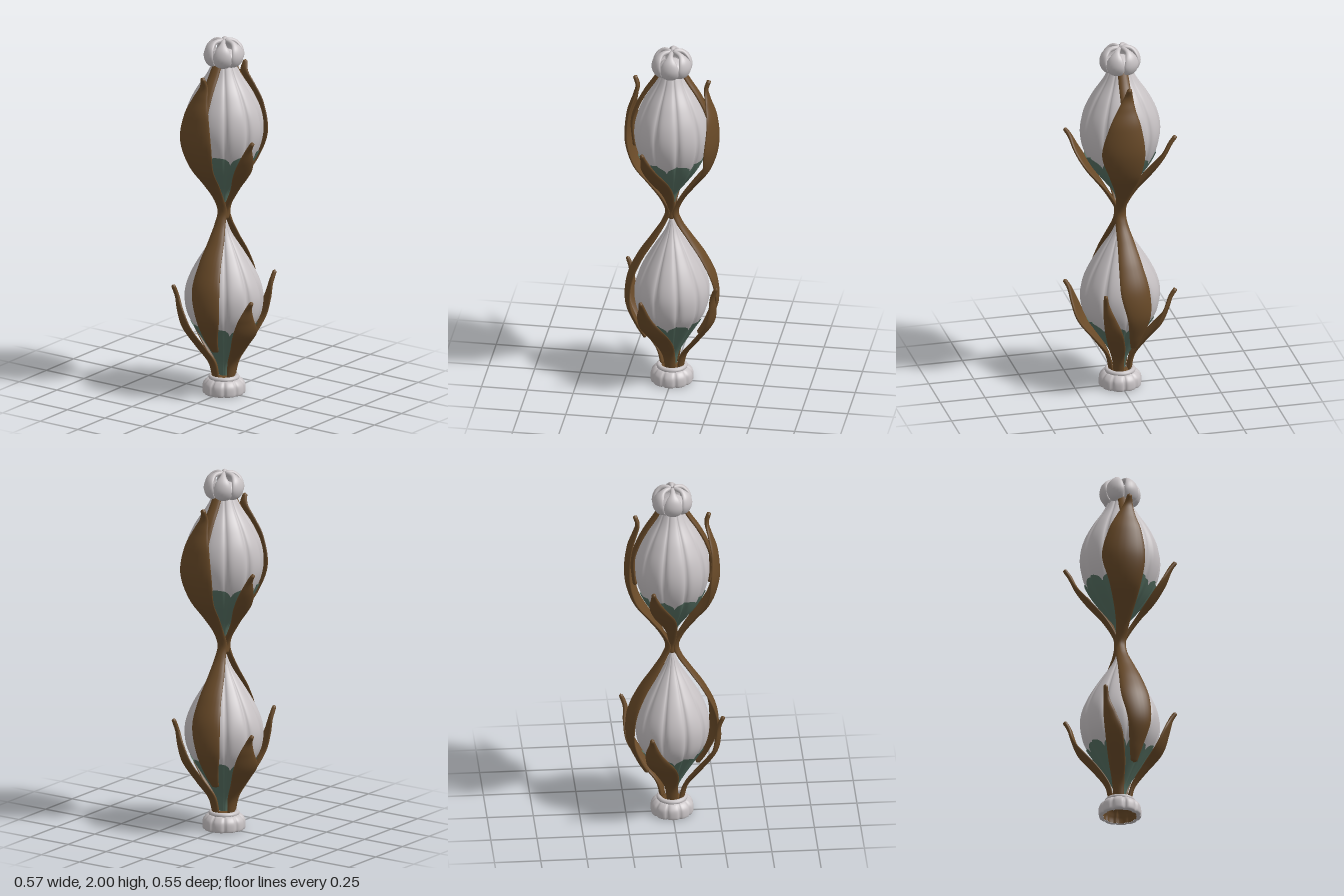
import * as THREE from 'three';

const white = new THREE.MeshStandardMaterial({ name: 'paleShell', color: 0xc8c3c5 });
const brown = new THREE.MeshStandardMaterial({ name: 'brownLeaf', color: 0x694a28, side: THREE.DoubleSide });
const green = new THREE.MeshStandardMaterial({ name: 'greenCalyx', color: 0x567062, side: THREE.DoubleSide });

// Smooth surface closed around u (0..1) and open along v (0..1)
function surface(point, nu, nv) {
  const pos = [], index = [];
  for (let j = 0; j <= nv; j++) {
    for (let i = 0; i < nu; i++) pos.push(...point(i / nu, j / nv, j).toArray());
  }
  for (let j = 0; j < nv; j++) {
    for (let i = 0; i < nu; i++) {
      const a = j * nu + i, b = j * nu + (i + 1) % nu;
      index.push(a, b, b + nu, a, b + nu, a + nu);
    }
  }
  const g = new THREE.BufferGeometry();
  g.setAttribute('position', new THREE.Float32BufferAttribute(pos, 3));
  g.setIndex(index);
  g.computeVertexNormals();
  return g;
}

// Tapered blade through rows of [x, y, z, halfWidth], curved around the y axis
function blade(rows, thick = 0.012, nv = 48) {
  const path = new THREE.CatmullRomCurve3(rows.map(r => new THREE.Vector3(r[0], r[1], r[2])), false, 'catmullrom');
  const size = new THREE.CatmullRomCurve3(rows.map(r => new THREE.Vector3(r[3], 0, 0)), false, 'catmullrom');
  const up = new THREE.Vector3(0, 1, 0);
  return surface((u, v, j) => {
    const p = path.getPoint(v), tan = path.getTangent(v);
    const end = j === 0 || j === nv ? 0 : 1;
    const w = Math.max(size.getPoint(v).x, 0.003) * end;
    const a = Math.atan2(p.x, p.z), r = Math.hypot(p.x, p.z);
    const side = new THREE.Vector3(Math.cos(a), 0, -Math.sin(a));
    const out = side.cross(tan).normalize();
    const t = u * Math.PI * 2;
    p.addScaledVector(out, Math.cos(t) * Math.min(thick, w));
    return p.applyAxisAngle(up, Math.sin(t) * w / Math.max(r, 0.01));
  }, 20, nv);
}

// Profile lookup: radius at a height, from a spline through [radius, y]
function profileOf(points) {
  const pts = new THREE.SplineCurve(points.map(p => new THREE.Vector2(...p))).getPoints(100);
  return y => {
    const k = pts.findIndex(p => p.y >= y);
    if (k <= 0) return k === 0 ? pts[0].x : pts[100].x;
    const a = pts[k - 1], b = pts[k];
    return THREE.MathUtils.lerp(a.x, b.x, (y - a.y) / (b.y - a.y));
  };
}

const groove = (a, n, depth) => 1 - depth * Math.pow(1 - Math.abs(Math.sin(a * n / 2)), 3);
const around = (a, r, y, flat = 1) => new THREE.Vector3(Math.sin(a) * r, y, Math.cos(a) * r * flat);

// Lobed body of revolution along [radius, y] points
function lobed(points, n, depth) {
  const curve = new THREE.SplineCurve(points.map(p => new THREE.Vector2(...p)));
  return surface((u, v) => {
    const p = curve.getPoint(v), a = u * Math.PI * 2;
    return around(a, p.x * groove(a, n, depth), p.y);
  }, 96, 28);
}

export function createModel() {
  const model = new THREE.Group();
  model.name = 'budFinial';
  const add = (name, geometry, material, turn = 0) => {
    const m = new THREE.Mesh(geometry, material);
    m.name = name;
    m.rotation.y = turn;
    model.add(m);
  };

  // Pleated buds, each sitting in a green calyx with a scalloped rim
  const buds = [
    { name: 'lower', rim: 0.36, points: [[0.02, 0.1], [0.035, 0.17], [0.08, 0.25], [0.145, 0.35], [0.2, 0.44],
      [0.218, 0.53], [0.208, 0.61], [0.17, 0.7], [0.11, 0.8], [0.045, 0.9], [0.012, 0.98]] },
    { name: 'upper', rim: 1.335, points: [[0.012, 1.08], [0.03, 1.14], [0.075, 1.2], [0.15, 1.3], [0.2, 1.4],
      [0.219, 1.5], [0.205, 1.6], [0.16, 1.7], [0.095, 1.8], [0.06, 1.87]] },
  ];
  for (const { name, rim, points } of buds) {
    const radius = profileOf(points);
    const y0 = points[0][1], y1 = points[points.length - 1][1];
    const skin = (a, y, lift) => around(a, radius(y) * groove(a, 10, 0.07) + lift, y, 0.93);
    add(name + 'Bud', surface((u, v) => skin(u * Math.PI * 2, y0 + (y1 - y0) * v, 0), 120, 48), white);
    add(name + 'Calyx', surface((u, v) => {
      const a = u * Math.PI * 2;
      const top = rim + 0.045 * Math.sqrt(Math.abs(Math.sin(a * 4)));
      return skin(a, y0 + (top - y0) * v, 0.007);
    }, 120, 20), green);
  }

  // Leaves, repeated on the opposite side by a half turn
  const leaves = {
    longLeaf: [[0.042, 0.265, 0.135, 0.018], [0.045, 0.35, 0.185, 0.04], [0.053, 0.48, 0.235, 0.07],
      [0.035, 0.62, 0.23, 0.085], [0.022, 0.75, 0.175, 0.07], [0.012, 0.87, 0.098, 0.05],
      [0, 0.96, 0.044, 0.036], [0, 1.03, 0.026, 0.034], [0, 1.11, 0.06, 0.036], [-0.005, 1.2, 0.125, 0.058],
      [-0.02, 1.31, 0.205, 0.09], [-0.038, 1.45, 0.243, 0.122], [-0.028, 1.6, 0.235, 0.092],
      [-0.015, 1.7, 0.205, 0.052], [0, 1.77, 0.187, 0.026], [0.003, 1.83, 0.203, 0.011]],
    capStrap: [[0, 1.4, 0.2, 0.03], [0, 1.55, 0.213, 0.034], [0, 1.65, 0.187, 0.034], [0, 1.74, 0.143, 0.033],
      [0, 1.81, 0.098, 0.031], [0, 1.87, 0.062, 0.028]],
    smallLeaf: [[-0.02, 0.08, 0.05, 0.028], [-0.03, 0.18, 0.075, 0.035], [-0.055, 0.28, 0.145, 0.047],
      [-0.09, 0.4, 0.222, 0.048], [-0.118, 0.5, 0.24, 0.034], [-0.136, 0.58, 0.243, 0.017],
      [-0.147, 0.65, 0.268, 0.01]],
    lowerSideLeaf: [[0.05, 0.08, 0, 0.03], [0.07, 0.18, 0.01, 0.038], [0.135, 0.28, 0.035, 0.062],
      [0.205, 0.38, 0.08, 0.08], [0.23, 0.47, 0.115, 0.05], [0.25, 0.54, 0.123, 0.022], [0.278, 0.59, 0.13, 0.01]],
    upperSideLeaf: [[0.018, 0.98, 0, 0.02], [0.022, 1.05, 0, 0.02], [0.085, 1.16, 0.012, 0.035],
      [0.165, 1.27, 0.055, 0.06], [0.215, 1.36, 0.095, 0.048], [0.248, 1.44, 0.115, 0.02], [0.28, 1.49, 0.122, 0.01]],
  };
  for (const [name, rows] of Object.entries(leaves)) {
    const g = blade(rows, 0.012, rows.length * 8);
    add(name, g, brown);
    add(name + 'Opposite', g, brown, Math.PI);
  }

  // Crown of six curled petals over a small dome
  const petal = blade([[0, 1.86, 0.065, 0.03], [0, 1.875, 0.088, 0.044], [0, 1.91, 0.1, 0.052], [0, 1.95, 0.09, 0.04],
    [0, 1.978, 0.062, 0.018], [0, 1.988, 0.03, 0.012], [0, 1.988, 0.008, 0.008]], 0.013, 32);
  for (let i = 0; i < 6; i++) add('crownPetal', petal, white, Math.PI / 6 + i * Math.PI / 3);
  add('crownDome', lobed([[0.055, 1.845], [0.072, 1.855], [0.075, 1.88], [0.06, 1.92], [0.001, 1.95]], 6, 0.1), white);

  // Hollow lobed foot with a collar and a brown inside
  add('foot', lobed([[0.092, 0], [0.113, 0.001], [0.117, 0.025], [0.112, 0.055], [0.092, 0.078], [0.07, 0.085]], 10, 0.1), white);
  const collar = new THREE.TorusGeometry(0.07, 0.014, 12, 48);
  collar.rotateX(Math.PI / 2).translate(0, 0.087, 0);
  add('footCollar', collar, white);
  add('footInside', lobed([[0.092, 0.001], [0.088, 0.035], [0.066, 0.075], [0.001, 0.086]], 10, 0.1), brown);
  return model;
}
